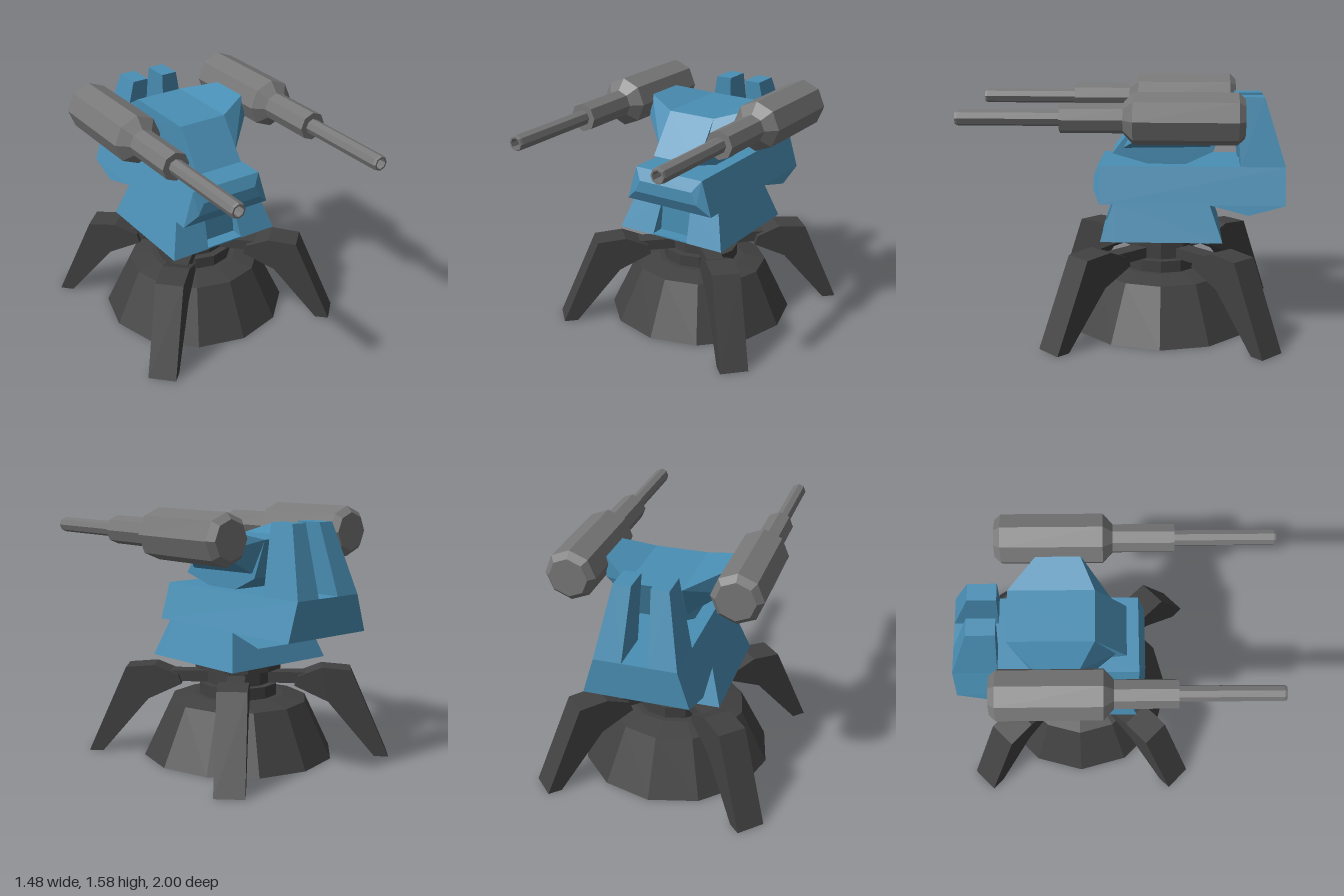
import * as THREE from 'three';
import { ConvexGeometry } from 'three/addons/geometries/ConvexGeometry.js';

const armour = new THREE.MeshStandardMaterial({ color: 0x4a8fb5 });
armour.name = 'blue armour';
const gunMetal = new THREE.MeshStandardMaterial({ color: 0x787878 });
gunMetal.name = 'gun grey';
const darkMetal = new THREE.MeshStandardMaterial({ color: 0x414141 });
darkMetal.name = 'dark metal';

const BASE_Z = -0.23;

function add(parent, name, geometry, material) {
  const mesh = new THREE.Mesh(geometry, material);
  mesh.name = name;
  parent.add(mesh);
  return mesh;
}

// Faceted convex block from corner points
const hull = (pts) => new ConvexGeometry(pts.map((p) => new THREE.Vector3(...p)));
// Mirror a list of corners across x = 0
const mirror = (pts) => pts.map(([x, y, z]) => [-x, y, z]);
const symmetric = (pts) => hull([...pts, ...mirror(pts)]);

function addPair(parent, name, pts, material) {
  add(parent, name + 'Left', hull(pts), material);
  add(parent, name + 'Right', hull(mirror(pts)), material);
}

// Flat-faced turned part
function turned(profile, sides) {
  const points = profile.map(([r, y]) => new THREE.Vector2(r, y));
  const geometry = new THREE.LatheGeometry(points, sides).toNonIndexed();
  geometry.computeVertexNormals();
  return geometry;
}

function makeBase() {
  const base = new THREE.Group();
  base.name = 'base';
  base.position.z = BASE_Z;

  // Twelve-sided pedestal, neck and turntable
  add(base, 'pedestal', turned([
    [0, 0], [0.61, 0], [0.44, 0.355], [0.29, 0.385], [0.25, 0.385],
    [0.25, 0.46], [0.2, 0.46], [0.2, 0.56], [0.28, 0.56], [0.28, 0.62], [0, 0.62],
  ], 12), darkMetal);

  // Four bent legs on the diagonals
  const legShape = new THREE.Shape([
    [0.96, 0], [0.715, 0.555], [0.53, 0.57], [0.38, 0.51],
    [0.36, 0.45], [0.573, 0.35], [0.87, 0],
  ].map(([r, y]) => new THREE.Vector2(r, y)));
  const legGeometry = new THREE.ExtrudeGeometry(legShape, { depth: 0.18, bevelEnabled: false });
  legGeometry.translate(0, 0, -0.09);
  const strutGeometry = new THREE.BoxGeometry(0.3, 0.07, 0.11).translate(0.3, 0.495, 0);
  for (let i = 0; i < 4; i++) {
    const leg = new THREE.Group();
    leg.name = 'leg' + (i + 1);
    leg.rotation.y = Math.PI / 4 + (i * Math.PI) / 2;
    add(leg, 'legBeam', legGeometry, darkMetal);
    add(leg, 'legStrut', strutGeometry, darkMetal);
    base.add(leg);
  }
  return base;
}

function makeBody() {
  const body = new THREE.Group();
  body.name = 'body';

  // Flared skirt with a recessed front panel
  add(body, 'skirt', symmetric([
    [0.39, 0.625, 0.06], [0.39, 0.625, -0.61], [0.32, 0.85, 0.06], [0.32, 0.85, -0.53],
  ]), armour);
  addPair(body, 'skirtFront', [
    [0.13, 0.625, 0.06], [0.39, 0.625, 0.06], [0.13, 0.625, 0.15], [0.39, 0.625, 0.15],
    [0.11, 0.85, 0.06], [0.32, 0.85, 0.06], [0.11, 0.85, 0.07], [0.32, 0.85, 0.07],
  ], armour);
  const sill = add(body, 'recessSill', new THREE.BoxGeometry(0.26, 0.009, 0.09), armour);
  sill.position.set(0, 0.63, 0.105);

  // Main hull with a bevelled nose
  add(body, 'hull', symmetric([
    [0.32, 0.85, 0.16], [0.25, 1.08, 0.16], [0.32, 0.85, -1], [0.25, 1.08, -1],
    [0.235, 0.925, 0.2], [0.195, 1.005, 0.2],
  ]), armour);
  add(body, 'rearKeel', symmetric([
    [0.32, 0.85, -1], [0.335, 0.79, -0.77], [0.32, 0.85, -0.53],
  ]), armour);

  // Twin rear pillars
  addPair(body, 'rearPillar', [
    [0.08, 1.08, -0.72], [0.25, 1.08, -0.72], [0.08, 1.08, -1], [0.25, 1.08, -1],
    [0.057, 1.505, -0.69], [0.165, 1.505, -0.69], [0.057, 1.505, -0.865], [0.165, 1.505, -0.865],
  ], armour);
  return body;
}

function makeHead() {
  const head = new THREE.Group();
  head.name = 'head';

  // Central block between the guns
  add(head, 'headBlock', symmetric([
    [0.165, 1.4, -0.11], [0.165, 1.145, 0.083], [0.165, 1.075, -0.16],
    [0.165, 1.075, -0.37], [0.165, 1.16, -0.55], [0.165, 1.4, -0.64],
  ]), armour);

  // Raised shoulders that carry the guns
  addPair(head, 'shoulder', [
    [0.165, 1.18, 0.015], [0.165, 1.4, -0.11], [0.165, 1.4, -0.64], [0.165, 1.19, -0.53],
    [0.37, 1.32, -0.17], [0.37, 1.465, -0.2], [0.37, 1.465, -0.46], [0.37, 1.32, -0.45],
  ], armour);
  return head;
}

// Eight-sided stepped gun with a hollow muzzle
function makeGun(side) {
  const gun = add(new THREE.Group(), side > 0 ? 'gunLeft' : 'gunRight', turned([
    [0, -0.72], [0.12, -0.72], [0.158, -0.68], [0.158, -0.06], [0.09, 0],
    [0.09, 0.375], [0.049, 0.375], [0.049, 0.985], [0.044, 1], [0.033, 1],
    [0.033, 0.92], [0, 0.92],
  ], 8), gunMetal);
  gun.rotation.x = Math.PI / 2;
  gun.position.set(side * 0.5, 1.42, 0);
  return gun;
}

export function createModel() {
  const model = new THREE.Group();
  model.name = 'gunTurret';
  model.add(makeBase(), makeBody(), makeHead(), makeGun(1), makeGun(-1));
  return model;
}
